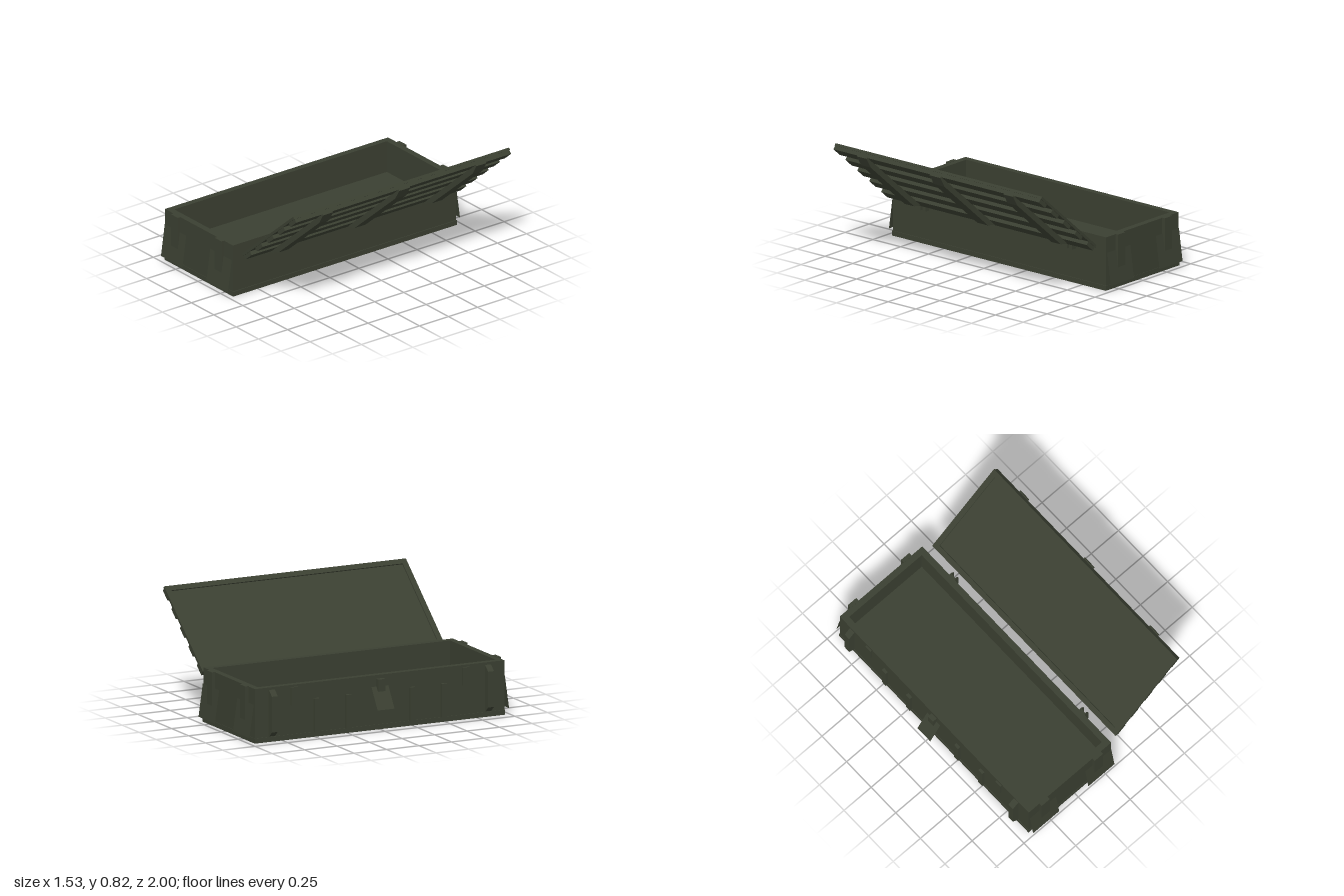
import * as THREE from 'three';

const olive = new THREE.MeshStandardMaterial({ color: 0x3a3f31, side: THREE.DoubleSide });
olive.name = 'olive drab';

function add(parent, name, geometry) {
  const mesh = new THREE.Mesh(geometry, olive);
  mesh.name = name;
  parent.add(mesh);
  return mesh;
}

// Box given by its minimum and maximum on each axis
function box(parent, name, x0, x1, y0, y1, z0, z1) {
  const mesh = add(parent, name, new THREE.BoxGeometry(x1 - x0, y1 - y0, z1 - z0));
  mesh.position.set((x0 + x1) / 2, (y0 + y1) / 2, (z0 + z1) / 2);
  return mesh;
}

// Outline in x and y, extruded along z around a centre
function prism(parent, name, points, width, z) {
  const shape = new THREE.Shape(points.map(([x, y]) => new THREE.Vector2(x, y)));
  const geometry = new THREE.ExtrudeGeometry(shape, { depth: width, bevelEnabled: false });
  geometry.translate(0, 0, -width / 2);
  const mesh = add(parent, name, geometry);
  mesh.position.z = z;
  return mesh;
}

// Rectangular ring lying in the xz plane, rising from y0 to y1
function frame(parent, name, x0, x1, z, wall, y0, y1) {
  const rect = (Type, a, b, c) => new Type([
    new THREE.Vector2(a, -c), new THREE.Vector2(b, -c),
    new THREE.Vector2(b, c), new THREE.Vector2(a, c)]);
  const shape = rect(THREE.Shape, x0, x1, z);
  shape.holes.push(rect(THREE.Path, x0 + wall, x1 - wall, z - wall));
  const geometry = new THREE.ExtrudeGeometry(shape, { depth: y1 - y0, bevelEnabled: false });
  geometry.rotateX(-Math.PI / 2);
  const mesh = add(parent, name, geometry);
  mesh.position.y = y0;
  return mesh;
}

function createBody() {
  const body = new THREE.Group();
  body.name = 'crateBody';

  // Walls, raised floor and base skirt
  frame(body, 'walls', -0.67, 0.088, 0.96, 0.045, 0.03, 0.38);
  box(body, 'floor', -0.63, 0.05, 0.03, 0.15, -0.92, 0.92);
  box(body, 'baseSkirt', -0.675, 0.094, 0, 0.035, -0.963, 0.963);

  for (const s of [-1, 1]) {
    // End straps with flared flaps hanging over them
    for (const [strapX, flapX] of [[-0.535, -0.545], [-0.047, -0.037]]) {
      const z = [0.955 * s, 0.984 * s].sort((a, b) => a - b);
      box(body, 'endStrap', strapX - 0.038, strapX + 0.038, 0.04, 0.382, ...z);
      const flap = add(body, 'endFlap', new THREE.PlaneGeometry(0.24, 0.232));
      flap.position.set(flapX, 0.155, 0.983 * s);
      flap.rotation.x = -s * 0.14;
    }

    // Tall bevelled corner ribs on the latch side
    prism(body, 'cornerRib', [[-0.66, 0.04], [-0.66, 0.365], [-0.68, 0.36],
      [-0.72, 0.325], [-0.72, 0.075], [-0.68, 0.04]], 0.045, 0.832 * s);

    // Slim ribs and short catches
    for (const z of [0.245, 0.49]) {
      box(body, 'slimRib', -0.691, -0.665, 0.035, 0.27, z * s - 0.02, z * s + 0.02);
    }
    box(body, 'sideCatch', -0.684, -0.665, 0.24, 0.365, 0.66 * s - 0.026, 0.66 * s + 0.026);

    // Hinge channels on the lid side
    const h = 0.66 * s;
    box(body, 'hingeWeb', 0.085, 0.105, 0.245, 0.368, h - 0.027, h + 0.027);
    for (const c of [-0.023, 0.023]) {
      prism(body, 'hingeCheek', [[0.085, 0.245], [0.127, 0.245], [0.127, 0.35],
        [0.11, 0.368], [0.085, 0.372]], 0.009, h + c);
    }
  }

  // Central latch bracket with its swung-out tongue
  box(body, 'latchBracket', -0.705, -0.665, 0.27, 0.355, -0.026, 0.026);
  const tongue = add(body, 'latchTongue', new THREE.PlaneGeometry(0.13, 0.172));
  tongue.geometry.rotateY(-Math.PI / 2);
  tongue.position.set(-0.72, 0.228, 0);
  tongue.rotation.z = -0.556;
  return body;
}

function createLid() {
  // Local x runs from the hinge to the free edge, local y points to the inner face
  const lid = new THREE.Group();
  lid.name = 'lid';
  const length = 0.744;
  box(lid, 'lidPanel', 0, length, -0.018, -0.009, -0.93, 0.93);
  frame(lid, 'lidRim', 0, length, 0.93, 0.04, -0.01, 0);

  // Five long slats on the outer face
  for (let i = 0; i < 5; i++) {
    const x = 0.045 + i * 0.1635;
    box(lid, 'lidSlat', x - 0.043, x + 0.043, -0.046, -0.016, -0.925, 0.925);
  }

  // Three cross straps with tapered ends
  for (const z of [-0.66, 0, 0.66]) {
    prism(lid, 'lidStrap', [[-0.004, -0.036], [0.074, -0.083], [0.67, -0.083],
      [0.75, -0.056], [0.75, -0.044], [0.02, -0.044]], z === 0 ? 0.096 : 0.087, z);
  }
  lid.position.set(0.153, 0.335, 0);
  lid.rotation.z = THREE.MathUtils.degToRad(40.3);
  return lid;
}

export function createModel() {
  const model = new THREE.Group();
  model.name = 'openCrate';
  model.add(createBody(), createLid());
  return model;
}
